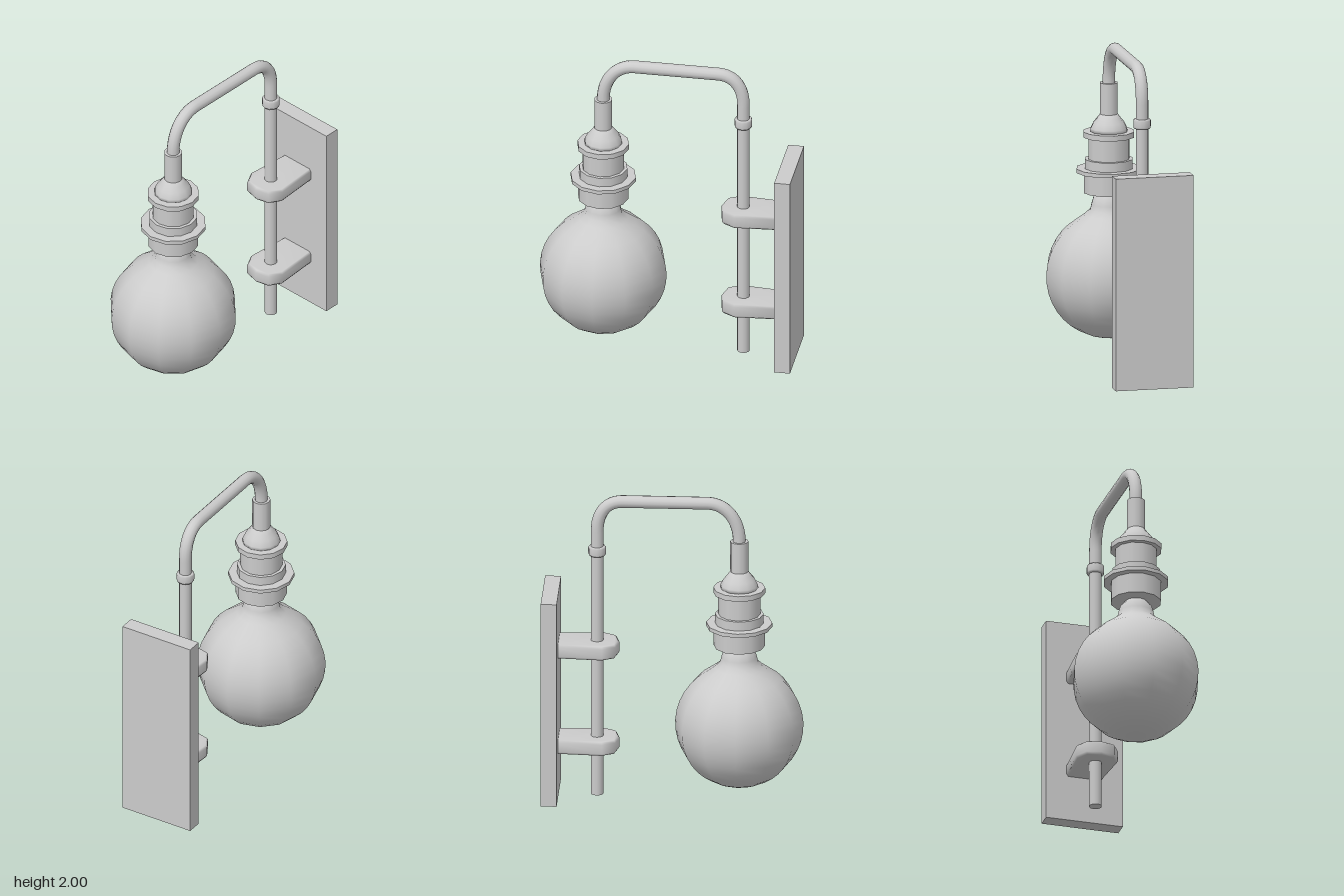
import * as THREE from 'three';
import { mergeVertices } from 'three/addons/utils/BufferGeometryUtils.js';

const LAMP_Z = 0.41, POLE_Z = -0.48;

export function createModel() {
  const model = new THREE.Group();
  const material = new THREE.MeshStandardMaterial({ color: 0xcccccc });

  function add(name, geometry, x = 0, y = 0, z = 0) {
    const mesh = new THREE.Mesh(geometry, material);
    mesh.name = name;
    mesh.position.set(x, y, z);
    model.add(mesh);
    return mesh;
  }

  // Profile given bottom to top as [radius, height]
  function lathe(name, profile, z, sides = 12) {
    add(name, new THREE.LatheGeometry(profile.map(p => new THREE.Vector2(...p)), sides), 0, 0, z);
  }

  // Wall plate
  add('wallPlate', new THREE.BoxGeometry(0.5, 1.355, 0.1), 0, 0.6775, -0.77);

  // Upright pole and its collar
  add('pole', new THREE.CylinderGeometry(0.04, 0.04, 1.62, 12), 0, 0.81, POLE_Z);
  lathe('poleCollar', [[0, 1.6], [0.052, 1.6], [0.056, 1.61], [0.056, 1.65], [0.05, 1.66], [0, 1.66]], POLE_Z);

  // Bent arm from the pole to the lamp
  const v = (y, z) => new THREE.Vector3(0, y, z);
  const arm = new THREE.CurvePath();
  arm.add(new THREE.LineCurve3(v(1.64, POLE_Z), v(1.76, POLE_Z)));
  arm.add(new THREE.CubicBezierCurve3(v(1.76, POLE_Z), v(1.87, POLE_Z), v(1.96, -0.43), v(1.96, -0.32)));
  arm.add(new THREE.LineCurve3(v(1.96, -0.32), v(1.96, 0.21)));
  arm.add(new THREE.CubicBezierCurve3(v(1.96, 0.21), v(1.96, 0.33), v(1.85, LAMP_Z), v(1.71, LAMP_Z)));
  arm.add(new THREE.LineCurve3(v(1.71, LAMP_Z), v(1.66, LAMP_Z)));
  add('arm', new THREE.TubeGeometry(arm, 60, 0.04, 12));

  // Sleeve between arm and socket
  add('sleeve', new THREE.CylinderGeometry(0.057, 0.057, 0.2, 12), 0, 1.61, LAMP_Z);

  // Stepped lamp socket
  lathe('socketCap', [[0, 1.39], [0.12, 1.395], [0.117, 1.42], [0.1, 1.455], [0.075, 1.485], [0.05, 1.52], [0, 1.52]], LAMP_Z);
  const rings = [
    ['socketUpperRing', 0.163, 1.365, 1.4],
    ['socketNeck', 0.132, 1.22, 1.37],
    ['socketStep', 0.153, 1.16, 1.225],
    ['socketFlange', 0.207, 1.14, 1.165],
    ['socketBody', 0.16, 1.01, 1.145],
  ];
  for (const [name, r, bottom, top] of rings) {
    add(name, new THREE.CylinderGeometry(r, r, top - bottom, 12), 0, (top + bottom) / 2, LAMP_Z);
  }

  // Globe bulb with a flared neck
  const bulb = [];
  for (let i = 0; i <= 16; i++) {
    const a = (i / 16) * 2.6;
    bulb.push([0.402 * Math.sin(a), 0.485 - 0.402 * Math.cos(a)]);
  }
  bulb.push([0.155, 0.868], [0.12, 0.9], [0.112, 0.935], [0.1, 0.975], [0.075, 1.005], [0.06, 1.02], [0, 1.02]);
  lathe('bulb', bulb, LAMP_Z);

  // Two rounded brackets clamping the pole
  const half = [[0.105, 0.735], [0.127, 0.445], [0.085, 0.37]];
  const outline = [...half, [0, 0.35], ...half.map(([x, z]) => [-x, z]).reverse()];
  const shape = new THREE.Shape(outline.map(p => new THREE.Vector2(...p)));
  const raw = new THREE.ExtrudeGeometry(shape, {
    depth: 0.06, bevelEnabled: true, bevelThickness: 0.015, bevelSize: 0.01, bevelSegments: 1,
  });
  raw.deleteAttribute('uv');
  raw.deleteAttribute('normal');
  const bracket = mergeVertices(raw);
  bracket.rotateX(-Math.PI / 2);
  bracket.computeVertexNormals();
  for (const [name, y] of [['lowerBracket', 0.315], ['upperBracket', 0.955]]) {
    add(name, bracket, 0, y, 0);
  }

  return model;
}
